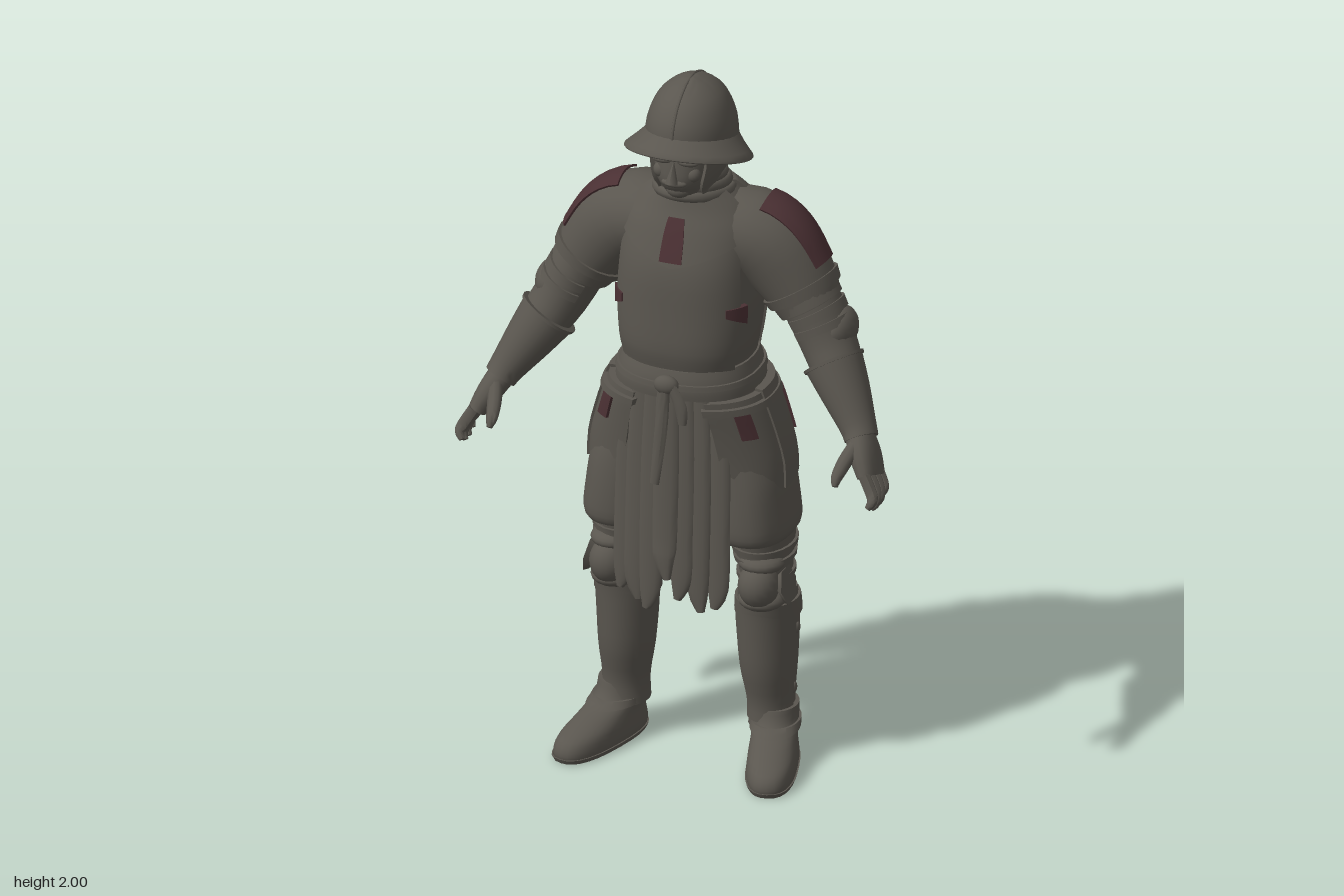
import * as THREE from 'three';
import { toCreasedNormals } from 'three/addons/utils/BufferGeometryUtils.js';

const steel = new THREE.MeshStandardMaterial({ color: 0x5a564f, side: THREE.DoubleSide });
steel.name = 'dull steel and cloth';
const red = new THREE.MeshStandardMaterial({ color: 0x4a3033, side: THREE.DoubleSide });
red.name = 'faded red';
const PI = Math.PI;

// Grid of points f(row, column) turned into a creased surface
function grid(f, rows, cols) {
  const pos = [], idx = [];
  for (let i = 0; i <= rows; i++) for (let j = 0; j <= cols; j++) pos.push(...f(i, j).toArray());
  for (let i = 0; i < rows; i++) for (let j = 0; j < cols; j++) {
    const a = i * (cols + 1) + j, b = a + 1, c = a + cols + 1;
    idx.push(a, c, b, b, c, c + 1);
  }
  const g = new THREE.BufferGeometry();
  g.setAttribute('position', new THREE.Float32BufferAttribute(pos, 3));
  g.setIndex(idx);
  return toCreasedNormals(g, 0.75);
}

// Smooth surface through sections [x, y, z, rx, rz, power, slope].
// Level sections run bottom to top; otherwise rings stand square to the path.
function surface(sections, level = false) {
  const n = sections.length - 1;
  const get = (i, k) => sections[Math.min(n, Math.max(0, i))][k] ?? (k === 5 ? 2 : 0);
  const value = (t, k) => {
    const i = Math.min(n - 1, Math.floor(t)), u = t - i;
    const [p0, p1, p2, p3] = [get(i - 1, k), get(i, k), get(i + 1, k), get(i + 2, k)];
    const m1 = (p2 - p0) / 2, m2 = (p3 - p1) / 2;
    return p1 + u * (m1 + u * (3 * (p2 - p1) - 2 * m1 - m2 + u * (2 * (p1 - p2) + m1 + m2)));
  };
  const centre = (t) => new THREE.Vector3(value(t, 0), value(t, 1), value(t, 2));
  const at = (t, a, off = 0) => {
    const T = level ? new THREE.Vector3(0, 1, 0)
      : centre(Math.min(n, t + 0.05)).sub(centre(Math.max(0, t - 0.05))).normalize();
    const B = new THREE.Vector3(0, 0, 1).addScaledVector(T, -T.z).normalize();
    const N = T.clone().cross(B);
    const sp = (v) => Math.sign(v) * Math.abs(v) ** (2 / value(t, 5));
    const rz = value(t, 4) + off, s = sp(Math.sin(a));
    const p = centre(t).addScaledVector(N, sp(Math.cos(a)) * (value(t, 3) + off)).addScaledVector(B, s * rz);
    p.y += value(t, 6) * s * rz;
    return p;
  };
  return { at, centre, n };
}

// Closed body of a surface, or of sections given directly
function loft(shape, level = false, seg = 24, step = 3) {
  const s = Array.isArray(shape) ? surface(shape, level) : shape;
  const rows = s.n * step;
  return grid((i, j) => {
    const t = Math.min(rows, Math.max(0, i - 1)) / step;
    return i === 0 || i === rows + 2 ? s.centre(t) : s.at(t, (j / seg) * 2 * PI);
  }, rows + 2, seg);
}

// Raised plate following a surface; its lower limit t0 may be a function of u
function plate(s, a0, a1, t0, t1, off, cols = 14, rows = 8, base = 0) {
  return grid((i, j) => {
    const u = Math.min(cols, Math.max(0, j - 1)) / cols, v = Math.min(rows, Math.max(0, i - 1)) / rows;
    const rim = i === 0 || j === 0 || i === rows + 2 || j === cols + 2;
    const lo = typeof t0 === 'function' ? t0(u) : t0;
    return s.at(lo + (t1 - lo) * v, a0 + (a1 - a0) * u, rim ? base : off);
  }, rows + 2, cols + 2);
}

const ball = (x, y, z, rx, ry, rz) => new THREE.SphereGeometry(1, 18, 12).scale(rx, ry, rz).translate(x, y, z);

function mirrored(geo) {
  const g = (geo.index ? geo.toNonIndexed() : geo.clone()).applyMatrix4(new THREE.Matrix4().makeScale(-1, 1, 1));
  const order = [];
  for (let i = 0; i < g.attributes.position.count; i += 3) order.push(i, i + 2, i + 1);
  g.setIndex(order);
  return g;
}

export function createModel() {
  const model = new THREE.Group();
  model.name = 'armouredSoldier';
  const add = (name, geo, mat = steel) => {
    const m = new THREE.Mesh(geo, mat);
    m.name = name;
    model.add(m);
  };
  const pair = (name, geo, mat) => {
    add('left ' + name, geo, mat);
    add('right ' + name, mirrored(geo), mat);
  };

  // Torso with breastplate, backplate and mantle
  const torso = surface([
    [0, 1.10, 0, 0.195, 0.165, 2.3], [0, 1.18, -0.005, 0.172, 0.155, 2.3], [0, 1.25, -0.005, 0.18, 0.168, 2.4],
    [0, 1.36, -0.015, 0.19, 0.173, 2.4], [0, 1.48, -0.02, 0.185, 0.168, 2.4], [0, 1.58, -0.03, 0.175, 0.143, 2.3],
    [0, 1.64, -0.03, 0.14, 0.115, 2.1], [0, 1.685, -0.02, 0.09, 0.09]], true);
  add('padded coat', loft(torso, true, 40));
  for (const [side, mid] of [['breast', PI / 2], ['back', -PI / 2]]) {
    add(side + 'plate', plate(torso, mid - 1.02, mid + 1.02, 1.15, 6, 0.011, 24, 16));
    add(side + ' mantle', plate(torso, mid - 1.25, mid + 1.25, (u) => 4.15 + Math.abs(u - 0.5) * 1.6, 6.9, 0.017, 24, 10));
    add(side + ' red patch', plate(torso, mid - 0.11, mid + 0.11, 4.3, 5.7, 0.021, 6, 8, 0.014), red);
  }
  for (const a of [0.62, -0.5]) pair('rib red strip', plate(torso, a - 0.2, a + 0.2, (u) => 2.75 + 0.25 * u, 3.2, 0.015, 6, 4), red);

  // Neck, face and wrapped collar
  const head = surface([
    [0, 1.64, -0.02, 0.085, 0.085], [0, 1.69, 0, 0.068, 0.105, 2.1], [0, 1.73, 0.01, 0.078, 0.125, 2.2],
    [0, 1.78, 0.005, 0.09, 0.128, 2.2], [0, 1.86, 0, 0.095, 0.12]], true);
  add('head', loft(head));
  add('mail coif', plate(head, PI * 0.78, PI * 2.22, 0.5, 3.8, 0.012, 20, 8));
  add('nose', new THREE.ConeGeometry(0.018, 0.065, 6).rotateX(-0.3).translate(0, 1.772, 0.138));
  add('moustache', ball(0, 1.737, 0.128, 0.036, 0.012, 0.016));
  add('chin', ball(0, 1.705, 0.096, 0.034, 0.024, 0.026));
  pair('brow', ball(0.035, 1.8, 0.118, 0.032, 0.012, 0.018));
  pair('cheek', ball(0.045, 1.76, 0.105, 0.022, 0.022, 0.02));
  [[1.715, 0.09, -0.012], [1.69, 0.1, -0.018], [1.665, 0.112, -0.022]].forEach(([y, r, z]) =>
    add('collar fold', new THREE.TorusGeometry(r, 0.014, 8, 32).scale(0.9, 1.02, 1.2).rotateX(PI / 2 - 0.15).translate(0, y, z)));

  // Kettle helmet
  const dome = surface([
    [0, 1.805, -0.005, 0.122, 0.15, 2, 0.2], [0, 1.875, -0.006, 0.117, 0.144, 2, 0.12], [0, 1.94, -0.006, 0.092, 0.113, 2, 0.04],
    [0, 1.978, -0.004, 0.053, 0.066], [0, 1.996, 0, 0.012, 0.016]], true);
  add('helmet dome', loft(dome, true, 32));
  const ridge = [];
  for (let i = 0; i <= 16; i++) ridge.push(dome.at(4 - Math.abs(i - 8) / 2, i < 8 ? PI / 2 : -PI / 2));
  add('helmet ridge', new THREE.TubeGeometry(new THREE.CatmullRomCurve3(ridge), 40, 0.004, 6));
  const brim = surface([[0, 1.782, 0.02, 0.17, 0.177, 2, 0.3], [0, 1.79, 0.02, 0.17, 0.177, 2, 0.3],
    [0, 1.815, 0.01, 0.142, 0.162, 2, 0.27], [0, 1.84, -0.004, 0.117, 0.146, 2, 0.22]], true);
  add('helmet brim', grid((i, j) => brim.at(i / 2, (j / 40) * 2 * PI), 6, 40));

  // Pauldrons and arms
  const pauldron = surface([[0.07, 1.565, -0.04, 0.095, 0.13], [0.19, 1.535, -0.045, 0.122, 0.125],
    [0.27, 1.45, -0.045, 0.112, 0.108], [0.325, 1.36, -0.04, 0.088, 0.092]]);
  pair('pauldron', loft(pauldron));
  pair('pauldron red patch', plate(pauldron, PI - 0.52, PI + 0.52, 0.8, 2.15, 0.006, 10, 10), red);
  pair('shoulder edge', plate(pauldron, 0, 2 * PI, 2.35, 2.6, 0.008, 24, 2));
  const arm = surface([[0.24, 1.48, -0.045, 0.09, 0.09], [0.32, 1.38, -0.04, 0.08, 0.088], [0.38, 1.27, -0.025, 0.075, 0.08],
    [0.435, 1.18, 0.015, 0.066, 0.068], [0.495, 1.085, 0.06, 0.048, 0.05]]);
  pair('sleeve', loft(arm));
  for (const t of [0.95, 1.25, 1.55]) pair('arm lame', plate(arm, PI * 0.3, PI * 1.7, t, t + 0.2, 0.007, 20, 2));
  pair('elbow guard', ball(0.405, 1.305, -0.04, 0.05, 0.06, 0.075));
  const cuff = surface([[0.405, 1.225, 0, 0.08, 0.082], [0.45, 1.155, 0.028, 0.067, 0.07], [0.498, 1.08, 0.062, 0.05, 0.052],
    [0.515, 1.05, 0.078, 0.045, 0.05]]);
  pair('gauntlet cuff', loft(cuff));
  pair('cuff rim', plate(cuff, 0, 2 * PI, 0, 0.15, 0.005, 24, 2));
  pair('palm', loft([[0.505, 1.065, 0.07, 0.038, 0.042], [0.535, 1.015, 0.1, 0.034, 0.056, 2.5], [0.56, 0.965, 0.122, 0.026, 0.056, 2.5]], false, 16));
  for (let i = 0; i < 4; i++) {
    const z = 0.083 + i * 0.027, d = Math.abs(i - 1.5) * 0.012;
    pair('finger', loft([[0.556, 0.985, z, 0.017, 0.015], [0.582, 0.94, z + 0.012, 0.017, 0.015],
      [0.588, 0.905 + d, z + 0.024, 0.014, 0.013], [0.578, 0.888 + d, z + 0.034, 0.008, 0.008]], false, 8));
  }
  pair('thumb', loft([[0.515, 1.05, 0.11, 0.02, 0.02], [0.5, 1.015, 0.16, 0.02, 0.018], [0.492, 0.985, 0.2, 0.016, 0.015],
    [0.493, 0.965, 0.216, 0.008, 0.008]], false, 10));

  // Hip skirt, tassets and belt
  const hips = surface([[0, 0.83, -0.01, 0.262, 0.135, 2.6], [0, 0.92, -0.01, 0.258, 0.14, 2.5], [0, 1.02, -0.005, 0.232, 0.15, 2.4],
    [0, 1.1, 0, 0.205, 0.16, 2.3], [0, 1.17, 0, 0.178, 0.16, 2.2]], true);
  add('hip skirt', loft(hips, true, 36));
  pair('front tasset', plate(hips, 0.1, 1.15, (u) => 0.1 + 0.8 * u * u, 3.2, 0.02));
  pair('side tasset', plate(hips, -1.1, 0.2, (u) => 0.2 + 0.6 * (1 - u), 3.3, 0.027));
  pair('tasset strap', plate(hips, -1.2, 1.2, 2.75, 3, 0.032, 24, 2));
  pair('front hip red patch', plate(hips, 0.55, 0.8, 1.85, 2.85, 0.027, 6, 6, 0.015), red);
  pair('rear hip red patch', plate(hips, -0.68, -0.42, 1.4, 2.7, 0.034, 6, 6, 0.02), red);
  const belt = surface([[0, 1.12, 0, 0.2, 0.178, 2.3], [0, 1.145, 0, 0.196, 0.18, 2.3], [0, 1.175, 0, 0.187, 0.176, 2.3],
    [0, 1.2, -0.002, 0.178, 0.17, 2.3]], true);
  add('belt', loft(belt, true, 36));
  add('belt ridge', plate(belt, 0, 2 * PI, 1.2, 1.7, 0.006, 36, 2));
  add('belt knot', ball(0, 1.165, 0.185, 0.035, 0.027, 0.022));
  add('long belt tail', loft([[0, 1.17, 0.192, 0.014, 0.01], [-0.01, 1.03, 0.2, 0.018, 0.007], [-0.024, 0.88, 0.21, 0.013, 0.006]], false, 10));
  add('short belt tail', loft([[0.015, 1.17, 0.192, 0.014, 0.009], [0.045, 1.11, 0.195, 0.018, 0.008], [0.05, 1.06, 0.195, 0.012, 0.006]], false, 10));

  // Ragged cloth in front and behind, in flat overlapping folds
  [0.53, 0.52, 0.5, 0.6, 0.54, 0.51, 0.51].forEach((end, i) => {
    const k = (i - 3) / 3, x = k * 0.125, z = (i % 2) * 0.008 - 0.045 * k * k, lean = i % 2 ? 0.01 : -0.01;
    add('front cloth fold', loft([[x * 0.9, 1.15, 0.165 + z, 0.032, 0.009], [x, 0.95, 0.176 + z, 0.036, 0.01],
      [x * 1.04, 0.72, 0.188 + z, 0.035, 0.011], [x * 1.07, end + 0.06, 0.194 + z, 0.03, 0.011],
      [x * 1.07 + lean, end, 0.198 + z, 0.011, 0.007]], false, 12));
  });
  [0.73, 0.7, 0.71, 0.73, 0.69, 0.7, 0.74].forEach((end, i) => {
    const k = (i - 3) / 3, x = k * 0.125, z = (i % 2) * -0.008 + 0.03 * k * k;
    add('back cloth fold', loft([[x * 0.85, 1.15, -0.165 + z, 0.03, 0.01], [x, 1.0, -0.182 + z, 0.034, 0.012],
      [x * 1.05, 0.82, -0.2 + z, 0.034, 0.013], [x * 1.07, end, -0.213 + z, 0.028, 0.011]], false, 12));
  });

  // Breeches and legs
  pair('breeches', loft([[0.188, 0.69, -0.012, 0.096, 0.142, 2.3], [0.188, 0.715, -0.01, 0.105, 0.15, 2.3],
    [0.182, 0.79, -0.01, 0.104, 0.148, 2.3], [0.165, 0.88, -0.01, 0.108, 0.14, 2.3], [0.13, 0.98, -0.01, 0.11, 0.13]], true));
  const leg = surface([[0.203, 0.42, -0.05, 0.07, 0.08], [0.203, 0.5, -0.035, 0.069, 0.086], [0.203, 0.58, -0.025, 0.07, 0.09],
    [0.196, 0.66, -0.03, 0.08, 0.108], [0.188, 0.76, -0.02, 0.085, 0.118]], true);
  pair('thigh and knee', loft(leg));
  for (const t of [0.9, 1.7, 2.35, 2.75]) pair('knee strap', plate(leg, 0, 2 * PI, t, t + 0.18, 0.008, 24, 2));
  pair('knee guard', ball(0.212, 0.55, 0.052, 0.056, 0.064, 0.058));
  for (const y of [0.5, 0.61]) pair('knee lame', ball(0.21, y, 0.025, 0.064, 0.03, 0.065));
  pair('knee wing', new THREE.CylinderGeometry(0.045, 0.055, 0.014, 6).rotateZ(PI / 2 + 0.2).translate(0.276, 0.545, 0.015));
  const greave = surface([[0.208, 0.1, -0.06, 0.064, 0.074], [0.206, 0.17, -0.06, 0.061, 0.07], [0.202, 0.27, -0.055, 0.073, 0.088],
    [0.2, 0.38, -0.054, 0.08, 0.096], [0.2, 0.45, -0.048, 0.082, 0.095], [0.203, 0.51, -0.035, 0.077, 0.09]], true);
  pair('greave', loft(greave));
  pair('greave front plate', plate(greave, 0.15, PI - 0.15, 0.4, 4.4, 0.005, 14, 12));
  pair('greave top rim', plate(greave, 0, 2 * PI, (u) => 3.7 + 0.4 * Math.cos(u * 2 * PI - PI / 2) ** 2, 4.5, 0.007, 24, 3));
  for (const t of [1.4, 3.1]) pair('greave buckle', ball(...greave.at(t, 0).toArray(), 0.008, 0.016, 0.014));

  // Shoes turned slightly outwards
  const place = (g) => g.rotateY(0.28).translate(0.218, 0, -0.06);
  const shoe = surface([[0, 0, 0.1, 0.062, 0.17, 2.5], [0, 0.022, 0.1, 0.068, 0.177, 2.5], [0, 0.055, 0.092, 0.066, 0.166, 2.3],
    [0, 0.085, 0.055, 0.062, 0.125], [0, 0.115, 0.012, 0.062, 0.085], [0, 0.16, 0, 0.062, 0.073]], true);
  pair('shoe', place(loft(shoe, true, 28)));
  pair('sole', place(plate(shoe, 0, 2 * PI, 0.1, 0.7, 0.004, 28, 2)));
  pair('ankle strap', place(plate(shoe, 0, 2 * PI, 3.6, 4.1, 0.007, 24, 2)));
  return model;
}
